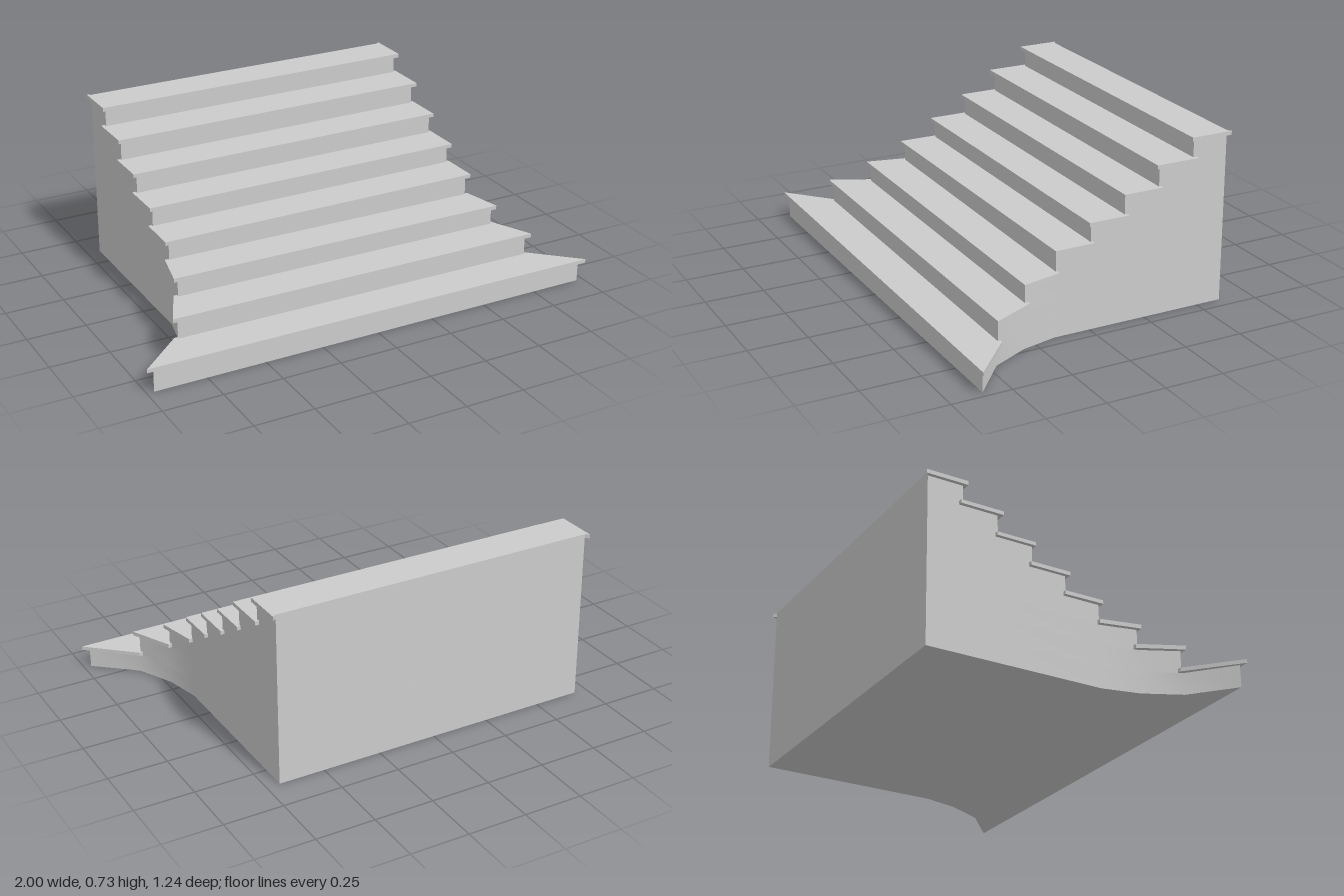
import * as THREE from 'three';
import { toCreasedNormals } from 'three/addons/utils/BufferGeometryUtils.js';

const BACK = -0.61;
// Half width of the flight at depth z: straight at the back, flaring to the front
const FLARE = [[0.62, 1.0], [0.465, 0.82], [0.31, 0.745], [0.155, 0.71], [-0.7, 0.71]];
function halfWidth(z) {
  for (let i = 0; i < FLARE.length - 1; i++) {
    const [z0, w0] = FLARE[i], [z1, w1] = FLARE[i + 1];
    if (z >= z1) return w0 + (w1 - w0) * (z0 - z) / (z0 - z1);
  }
  return 0.71;
}

// Slab with the flared plan between two depths; its upper part leans by tilt
function slab(zFront, zBack, y0, y1, inset, tilt, ears = false) {
  const zs = [zFront, ...FLARE.map(p => p[0]).filter(z => z < zFront - 0.02 && z > zBack + 0.02), zBack];
  const right = zs.map(z => new THREE.Vector2(halfWidth(z) - inset, -z));
  if (ears) { // back corners reach a little past the rear wall
    right[right.length - 1].y = 0.622;
    right.push(new THREE.Vector2(0.695, -BACK));
  }
  const left = right.map(p => new THREE.Vector2(-p.x, p.y)).reverse();
  const geo = new THREE.ExtrudeGeometry(new THREE.Shape([...right, ...left]),
    { depth: y1 - y0, bevelEnabled: false });
  geo.rotateX(-Math.PI / 2).translate(0, y0, 0);
  const p = geo.attributes.position;
  for (let i = 0; i < p.count; i++) {
    if (p.getY(i) > 0.01) p.setY(i, p.getY(i) - tilt * p.getX(i));
  }
  return toCreasedNormals(geo, 0.6);
}

export function createModel() {
  const group = new THREE.Group();
  group.name = 'staircase';
  const mat = new THREE.MeshStandardMaterial({ color: 0xcccccc });
  const add = (name, geo) => {
    const mesh = new THREE.Mesh(geo, mat);
    mesh.name = name;
    group.add(mesh);
  };

  // Per step: tread underside, tread top, tread front, tread back, riser depth, sideways lean
  const steps = [
    [0.087, 0.103, 0.62, 0.445, 0.608, 0.006],
    [0.18, 0.197, 0.468, 0.29, 0.457, 0.006],
    [0.265, 0.282, 0.315, 0.145, 0.305, 0.007],
    [0.355, 0.371, 0.163, -0.01, 0.152, 0],
    [0.441, 0.457, 0.014, -0.164, 0, 0],
    [0.53, 0.545, -0.14, -0.314, -0.15, 0],
    [0.624, 0.64, -0.285, -0.473, -0.303, 0],
    [0.711, 0.728, -0.442, -0.61, -0.457, 0],
  ];
  let floor = 0;
  steps.forEach(([under, top, front, back, riser, tilt], i) => {
    add('riser' + (i + 1), slab(riser, BACK, floor, under, 0.016, tilt));
    add('tread' + (i + 1), slab(front, back, under, top, 0, tilt, i === 7));
    floor = under - 0.015;
  });
  return group;
}
